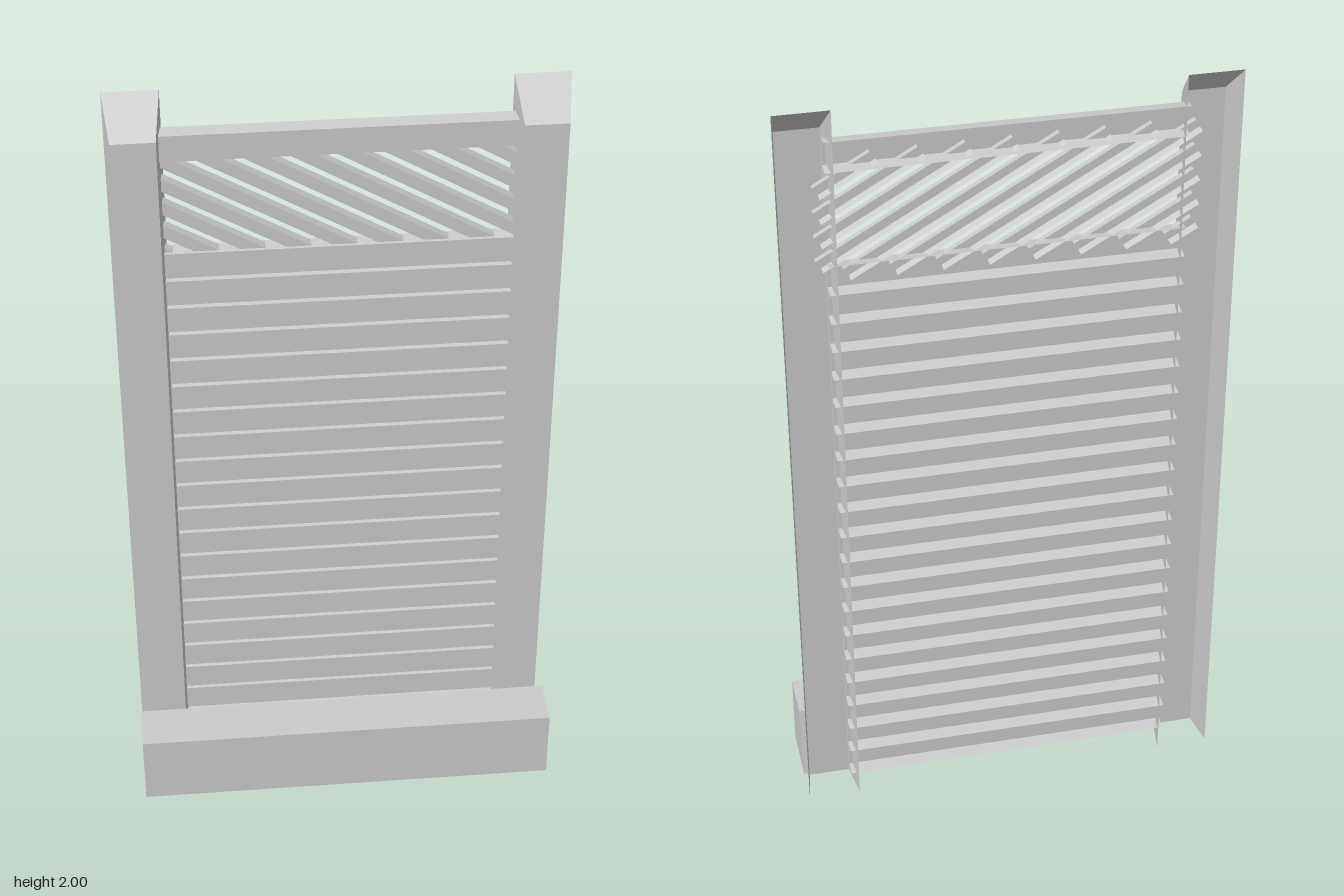
import * as THREE from 'three';

const material = new THREE.MeshStandardMaterial({ color: 0xcccccc, flatShading: true, side: THREE.DoubleSide });

// Flat-shaded sheet from a list of four-cornered faces
function sheet(name, quads) {
  const pos = [];
  for (const [a, b, c, d] of quads) pos.push(...a, ...b, ...c, ...a, ...c, ...d);
  const geo = new THREE.BufferGeometry();
  geo.setAttribute('position', new THREE.Float32BufferAttribute(pos, 3));
  geo.computeVertexNormals();
  const mesh = new THREE.Mesh(geo, material);
  mesh.name = name;
  return mesh;
}

// Splayed channel along x, open at the back
function rail(name, length, frontHalf, backHalf, zFront, zBack) {
  const h = length / 2;
  const profile = [[-backHalf, zBack], [-frontHalf, zFront], [frontHalf, zFront], [backHalf, zBack]];
  const quads = [];
  for (let i = 0; i < 3; i++) {
    const [y0, z0] = profile[i], [y1, z1] = profile[i + 1];
    quads.push([[-h, y0, z0], [h, y0, z0], [h, y1, z1], [-h, y1, z1]]);
  }
  return sheet(name, quads);
}

// Upright splayed channel, open at back and bottom, with a sloped cap
function post(name, x) {
  const zf = -0.035, zb = -0.128;
  const profile = [[-0.067, zb], [-0.053, zf], [0.053, zf], [0.067, zb]];
  const top = (z) => (z === zf ? 1.915 : 2);
  const quads = [];
  for (let i = 0; i < 3; i++) {
    const [x0, z0] = profile[i], [x1, z1] = profile[i + 1];
    quads.push([[x0, 0, z0], [x1, 0, z1], [x1, top(z1), z1], [x0, top(z0), z0]]);
  }
  quads.push([1, 2, 3, 0].map((i) => [profile[i][0], top(profile[i][1]), profile[i][1]]));
  const mesh = sheet(name, quads);
  mesh.position.x = x;
  return mesh;
}

export function createModel() {
  const model = new THREE.Group();

  // Kerb along the foot, with a leaning back face
  const kerbShape = new THREE.Shape();
  kerbShape.moveTo(-0.128, 0);
  kerbShape.lineTo(0.028, 0);
  kerbShape.lineTo(0, 0.195);
  kerbShape.lineTo(-0.128, 0.195);
  const kerbGeo = new THREE.ExtrudeGeometry(kerbShape, { depth: 1.09, bevelEnabled: false });
  kerbGeo.translate(0, 0, -0.545);
  kerbGeo.rotateY(Math.PI / 2);
  const kerb = new THREE.Mesh(kerbGeo, material);
  kerb.name = 'kerb';
  model.add(kerb);

  // Posts
  model.add(post('leftPost', 0.478), post('rightPost', -0.478));

  // Horizontal slats and the top rail
  const pitch = 0.0772;
  const slat = (name, y) => {
    const mesh = rail(name, 0.856, pitch / 2 - 0.005, pitch / 2, -0.075, -0.11);
    mesh.position.y = y;
    return mesh;
  };
  const slats = new THREE.Group();
  slats.name = 'slats';
  for (let i = 0; i < 20; i++) slats.add(slat('slat', 0.05 + pitch * (i + 0.5)));
  model.add(slats, slat('topRail', 1.874));

  // Diagonal lattice bars, cut to the opening and tucked behind its frame
  const lattice = new THREE.Group();
  lattice.name = 'lattice';
  const angle = Math.PI / 6, slope = Math.tan(angle);
  const yTop = 1.86, yBottom = 1.565, xEdge = 0.45;
  for (let i = -5; i < 8; i++) {
    const x0 = -0.302 + 0.11 * i; // where the bar crosses y = 1.835
    const left = Math.max(-xEdge, x0 - (yTop - 1.835) / slope);
    const right = Math.min(xEdge, x0 + (1.835 - yBottom) / slope);
    if (right - left < 0.03) continue;
    const bar = rail('latticeBar', (right - left) / Math.cos(angle), 0.015, 0.018, -0.082, -0.103);
    const xMid = (left + right) / 2;
    bar.position.set(xMid, 1.835 - (xMid - x0) * slope, 0);
    bar.rotation.z = -angle;
    lattice.add(bar);
  }
  model.add(lattice);
  return model;
}
